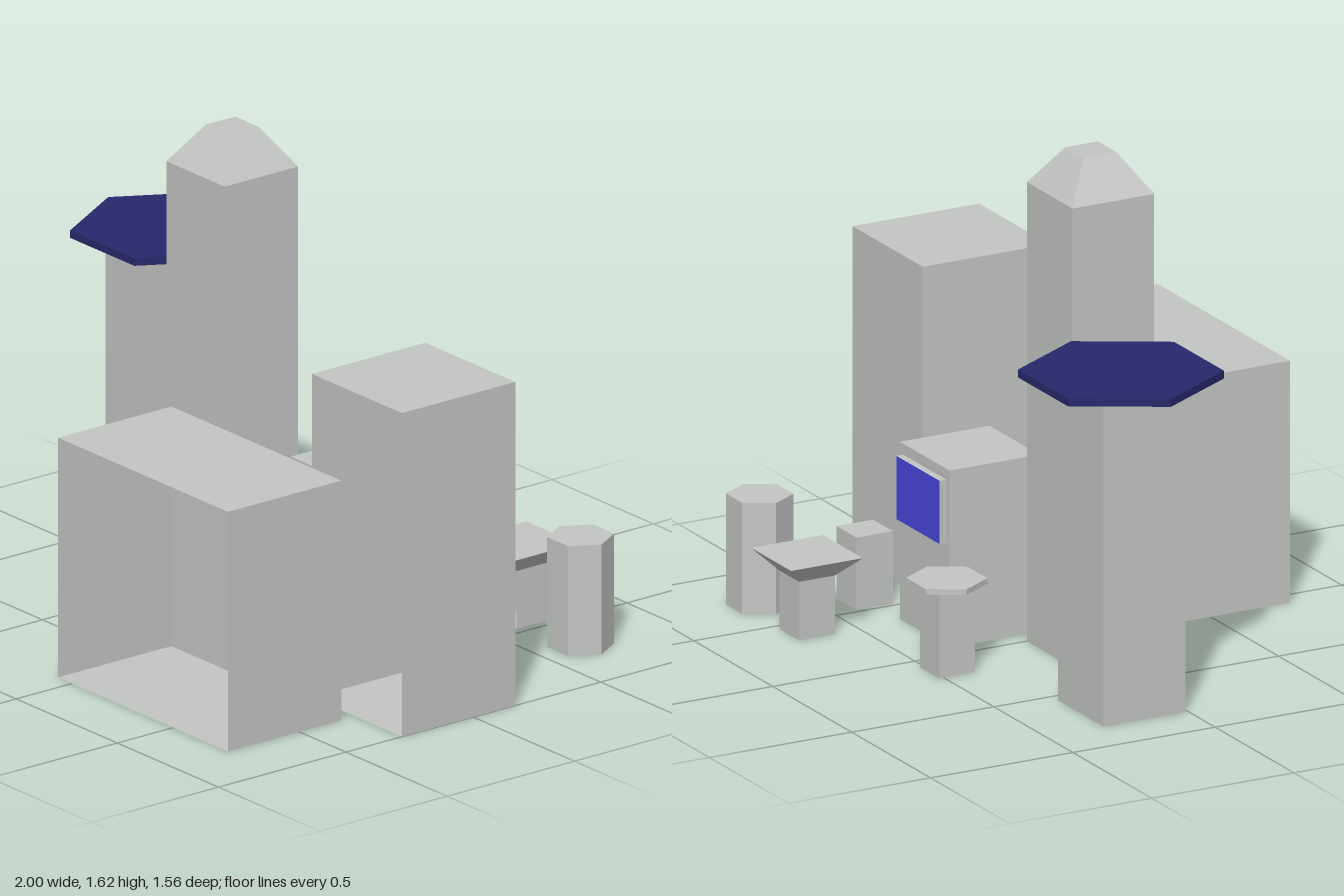
import * as THREE from 'three';

const material = (name, color) => {
  const m = new THREE.MeshStandardMaterial({ color, side: THREE.DoubleSide });
  m.name = name;
  return m;
};

export function createModel() {
  const grey = material('concrete grey', 0xc4c6c4);
  const navy = material('dark blue', 0x28286c);
  const blue = material('screen blue', 0x4a46e0);
  const model = new THREE.Group();

  const add = (name, geometry, mat, x, y, z) => {
    const mesh = new THREE.Mesh(geometry, mat);
    mesh.name = name;
    mesh.position.set(x, y, z);
    model.add(mesh);
    return mesh;
  };

  // Block standing on the ground, open at its front (+z)
  const openBlock = (name, x0, x1, z0, z1, h) => {
    const g = new THREE.BoxGeometry(x1 - x0, h, z1 - z0);
    const index = Array.from(g.index.array);
    index.splice(24, 6);
    g.setIndex(index);
    g.clearGroups();
    add(name, g, grey, (x0 + x1) / 2, h / 2, (z0 + z1) / 2);
  };

  // Faceted prism or frustum between two heights
  const prism = (name, sides, rTop, rBottom, x, z, y0, y1, mat = grey) => {
    const g = new THREE.CylinderGeometry(rTop, rBottom, y1 - y0, sides)
      .rotateY(sides === 4 ? Math.PI / 4 : Math.PI / 2).toNonIndexed();
    g.computeVertexNormals();
    add(name, g, mat, x, (y0 + y1) / 2, z);
  };
  const corner = (width) => width / Math.SQRT2; // radius of a square of this width

  // Large buildings
  openBlock('wideBuilding', -0.07, 0.77, 0.335, 0.78, 0.785);
  openBlock('tallBuilding', 0.555, 1, -0.165, 0.28, 1.06);
  openBlock('spireTower', -0.29, 0, -0.107, 0.18, 1.49);
  prism('spireRoof', 4, corner(0.115), corner(0.288), -0.145, 0.037, 1.49, 1.615);

  // Tower with a hexagonal deck
  openBlock('deckTower', -0.83, -0.54, -0.297, -0.01, 1.06);
  prism('hexagonDeck', 6, 0.317, 0.317, -0.683, -0.155, 1.065, 1.09, [navy, navy, grey]);

  // Medium building with a screen on its back
  openBlock('screenBuilding', 0.06, 0.375, -0.345, -0.03, 0.575);
  add('screen', new THREE.BoxGeometry(0.275, 0.205, 0.024),
    [grey, grey, grey, grey, grey, blue], 0.217, 0.437, -0.357);

  // Small blocks and pedestals
  openBlock('smallBlock', 0.515, 0.64, -0.42, -0.292, 0.235);
  prism('hexagonPillar', 6, 0.104, 0.104, 0.705, -0.655, 0, 0.36);

  openBlock('hexagonTablePost', -0.182, -0.058, -0.515, -0.39, 0.28);
  prism('hexagonTableTop', 6, 0.125, 0.125, -0.12, -0.455, 0.28, 0.298);

  openBlock('squareTablePost', 0.345, 0.47, -0.715, -0.59, 0.19);
  prism('squareTableTop', 4, corner(0.253), corner(0.125), 0.408, -0.653, 0.19, 0.255);

  return model;
}
